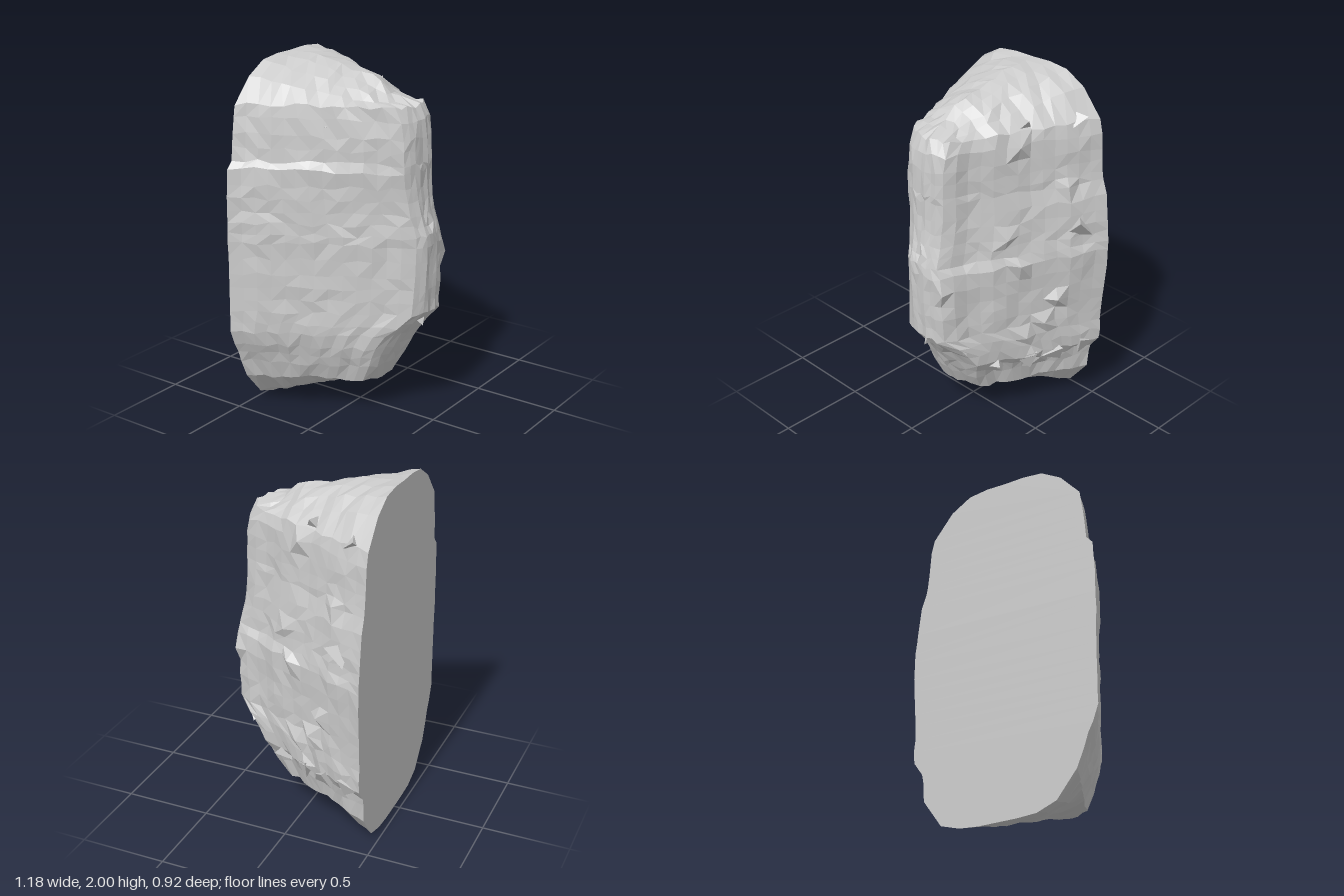
import * as THREE from 'three';

const BACK = -0.465;

// Wall levels: height, back left x, back right x, front left x, front right x, front z
const LEVELS = [
  [0.2, -0.47, 0.48, -0.16, 0.18, 0.18],
  [0.3, -0.51, 0.49, -0.17, 0.2, 0.235],
  [0.36, -0.53, 0.5, -0.18, 0.22, 0.26],
  [0.42, -0.56, 0.555, -0.18, 0.25, 0.29],
  [0.5, -0.59, 0.56, -0.16, 0.24, 0.335],
  [0.56, -0.59, 0.555, -0.13, 0.22, 0.385],
  [0.63, -0.59, 0.56, -0.09, 0.18, 0.445],
  [0.85, -0.59, 0.575, -0.08, 0.17, 0.455],
  [1.03, -0.59, 0.585, -0.08, 0.17, 0.46],
  [1.08, -0.59, 0.58, -0.08, 0.14, 0.455],
  [1.2, -0.585, 0.57, -0.09, 0.14, 0.425],
  [1.35, -0.58, 0.555, -0.11, 0.14, 0.405],
  [1.44, -0.575, 0.52, -0.12, 0.14, 0.405],
  [1.48, -0.535, 0.515, -0.12, 0.14, 0.405],
  [1.62, -0.52, 0.505, -0.12, 0.14, 0.4],
  [1.71, -0.51, 0.5, -0.12, 0.14, 0.385],
  [1.78, -0.5, 0.48, -0.13, 0.14, 0.35]
];
const SIDE = 13, FRONT = 8, LAST = SIDE * 2 + FRONT;

// Repeatable noise in the range -1 to 1
function noise(i, j) {
  const s = Math.sin(i * 127.1 + j * 311.7) * 43758.5453;
  return (s - Math.floor(s)) * 2 - 1;
}

// Adds in-between levels where the gap is tall
function denseLevels() {
  const rows = [];
  LEVELS.forEach((row, k) => {
    rows.push(row);
    const next = LEVELS[k + 1];
    if (!next) return;
    const n = Math.max(1, Math.round((next[0] - row[0]) / 0.075));
    for (let s = 1; s < n; s++) rows.push(row.map((v, c) => v + (next[c] - v) * s / n));
  });
  return rows;
}

// One horizontal wall section: left wall, blunt nose, right wall
function section([y, bl, br, fl, fr, zf], i) {
  const points = [];
  const drop = 0.15 * (fr - fl);
  for (let j = 0; j <= LAST; j++) {
    const left = j <= SIDE, right = j >= SIDE + FRONT;
    const edge = j === 0 || j === LAST;
    let x, z, nx = 0, nz = 1;
    if (left || right) {
      const t = (left ? j : LAST - j) / SIDE;
      x = THREE.MathUtils.lerp(left ? bl : br, left ? fl : fr, t);
      z = THREE.MathUtils.lerp(BACK, zf - drop, t);
      nx = left ? -0.88 : 0.88;
      nz = 0.48;
    } else {
      const t = (j - SIDE) / FRONT;
      x = THREE.MathUtils.lerp(fl, fr, t);
      z = zf - drop * (2 * t - 1) ** 2;
    }
    // Vertical grooves per column, fine roughness and a few raised splinters
    let d = noise(j, 900) * (right ? 0.01 : 0.005) + noise(i, j) * 0.006;
    if (right && noise(i * 3 + 11, j * 5) > 0.96) d += 0.03;
    if (edge) d = noise(i, j) * 0.004;
    points.push(new THREE.Vector3(
      x + nx * d, y + 0.012 * noise(i + 50, j + 7), edge ? BACK : z + nz * d
    ));
  }
  return points;
}

// Rows spanning from the left rim to the right rim, curving to a cap height
function capRows(rim, capHeight, power, seed) {
  const rows = [];
  for (let j = 0; j < SIDE; j++) {
    const a = rim[j], b = rim[LAST - j];
    rows.push(Array.from({ length: FRONT + 1 }, (_, k) => {
      if (k === 0) return a;
      if (k === FRONT) return b;
      const p = a.clone().lerp(b, k / FRONT);
      const f = j / SIDE;
      const s = f + (1 - f) * Math.abs(2 * k / FRONT - 1);
      const curve = s ** power(p.x);
      if (j > 0) {
        p.x += 0.015 * noise(seed, j * 20 + k);
        p.z += 0.012 * noise(seed + 1, j * 20 + k);
      }
      const y = THREE.MathUtils.lerp(capHeight(p.z), p.y, curve) + 0.009 * noise(seed + 2, j * 20 + k);
      p.y = THREE.MathUtils.clamp(y, 0, 2);
      return p;
    }));
  }
  rows.push(rim.slice(SIDE, SIDE + FRONT + 1));
  return rows;
}

// Closed faceted skin: underside, walls, domed top and flat back
function boulderGeometry() {
  const rings = denseLevels().map(section);
  const pos = [];
  const tri = (...p) => p.forEach(v => pos.push(v.x, v.y, v.z));
  const quad = (a, b, c, d, swap) => {
    if (swap) { tri(a, b, c); tri(a, c, d); }
    else { tri(a, b, d); tri(b, c, d); }
  };
  for (let i = 0; i < rings.length - 1; i++) {
    for (let j = 0; j <= LAST; j++) {
      const k = (j + 1) % (LAST + 1);
      quad(rings[i][j], rings[i][k], rings[i + 1][k], rings[i + 1][j], noise(i + 3, j + 31) > 0);
    }
  }
  const addCap = (rows, up) => {
    const face = (a, b, c) => (up ? tri(a, b, c) : tri(a, c, b));
    for (let j = 0; j < SIDE; j++) {
      for (let k = 0; k < FRONT; k++) {
        const a = rows[j][k], b = rows[j + 1][k], c = rows[j + 1][k + 1], d = rows[j][k + 1];
        if (k < FRONT / 2) { face(a, b, d); face(b, c, d); }
        else { face(a, b, c); face(a, c, d); }
      }
    }
    // Fills the back between the rim and the cap edge
    for (let k = 1; k < FRONT; k++) face(rows[0][0], rows[0][k], rows[0][k + 1]);
  };
  addCap(capRows(rings[0], z => 0.28 * (z - BACK), () => 5, 200), false);
  addCap(capRows(rings[rings.length - 1], z => 2 - 0.1 * (z - BACK), x => (x > 0 ? 4 : 3), 300), true);

  const geo = new THREE.BufferGeometry();
  geo.setAttribute('position', new THREE.Float32BufferAttribute(pos, 3));
  geo.computeVertexNormals();
  return geo;
}

export function createModel() {
  const model = new THREE.Group();
  model.name = 'rockWedge';
  const stone = new THREE.MeshStandardMaterial({ color: 0xcccccc, flatShading: true });

  const boulder = new THREE.Mesh(boulderGeometry(), stone);
  boulder.name = 'boulder';
  model.add(boulder);

  // Broken chips half sunk into the faces: x, y, z, size
  const chips = new THREE.Group();
  chips.name = 'chips';
  [
    [0.5, 1.2, -0.31, 0.09], [0.5, 0.42, -0.38, 0.075], [0.43, 0.4, -0.22, 0.08],
    [0.36, 0.4, -0.07, 0.08], [0.28, 0.4, 0.1, 0.07], [0.42, 1.79, -0.36, 0.06],
    [0.28, 1.8, -0.09, 0.06], [0.2, 0.56, 0.31, 0.06], [0.03, 0.59, 0.37, 0.06],
    [-0.27, 1.67, -0.05, 0.05], [-0.22, 1.92, -0.4, 0.05]
  ].forEach(([x, y, z, size], i) => {
    const chip = new THREE.Mesh(new THREE.TetrahedronGeometry(size), stone);
    chip.name = 'chip';
    chip.position.set(x, y, z);
    chip.rotation.set(i * 1.3, i * 2.1, i * 0.7);
    chips.add(chip);
  });
  model.add(chips);
  return model;
}
